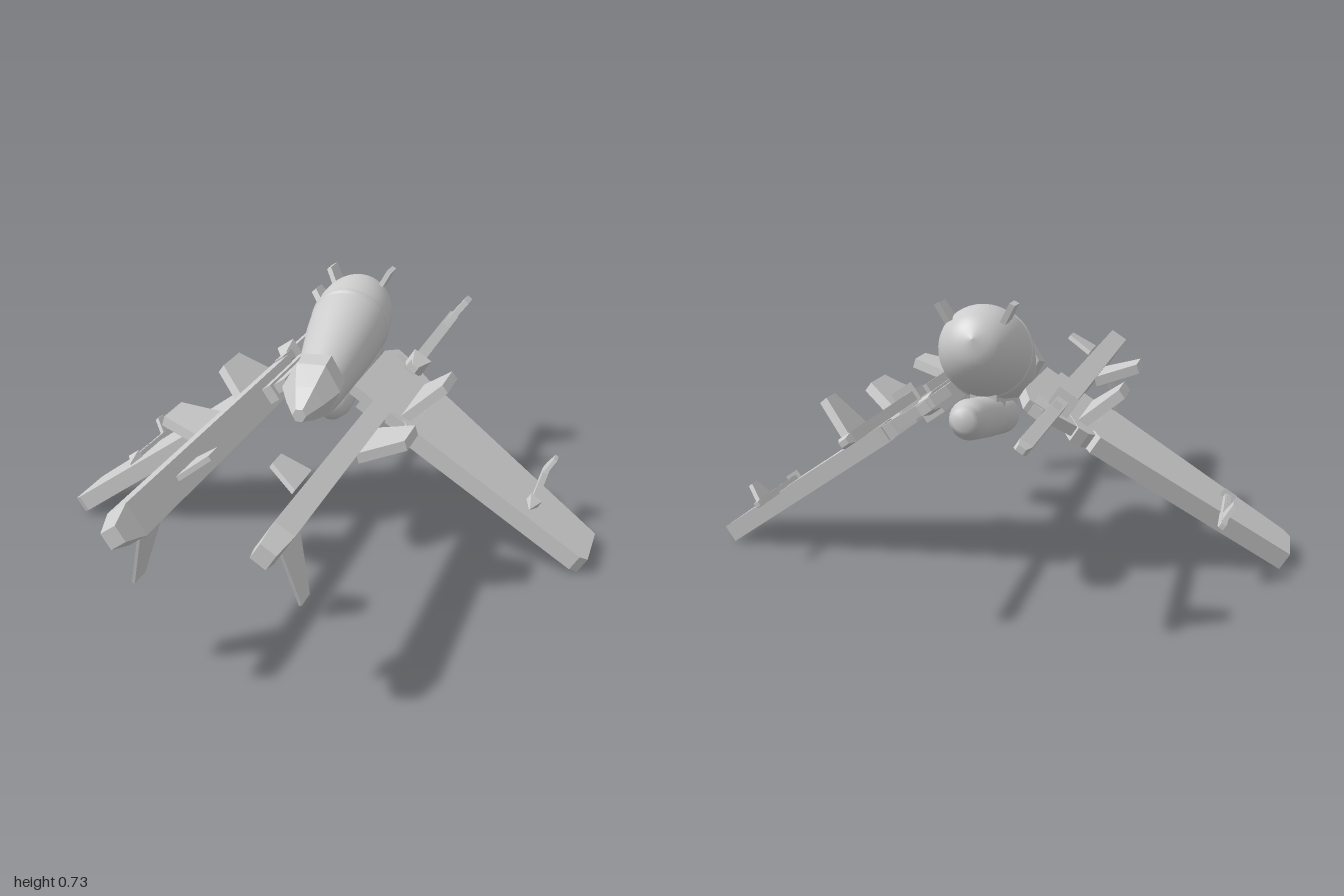
import * as THREE from 'three';

const CANT = THREE.MathUtils.degToRad(34); // droop of wings and booms
const smooth = new THREE.MeshStandardMaterial({ color: 0xcccccc, side: THREE.DoubleSide });
const flat = new THREE.MeshStandardMaterial({ color: 0xcccccc, flatShading: true });

// Flat plate: outline of [distance, z] points, running from (x, y) at an angle
function plate(outline, thick, x, y, angle) {
  const shape = new THREE.Shape(outline.map(([d, z]) => new THREE.Vector2(d, z)));
  return new THREE.ExtrudeGeometry(shape, { depth: thick, bevelEnabled: false })
    .translate(0, 0, -thick / 2).rotateX(Math.PI / 2).rotateZ(angle).translate(x, y, 0);
}

// Fin with a wide base and a narrower tip
const fin = (z0, z1, t0, t1, length, thick, x, y, degrees) =>
  plate([[0, z0], [length, t0], [length, t1], [0, z1]], thick, x, y, THREE.MathUtils.degToRad(degrees));

// Canted beam lofted along z; each station is [z, width, height]
function beam(stations, x, y) {
  const n = stations.length - 1;
  const g = new THREE.BoxGeometry(1, 1, n, 1, 1, n);
  const p = g.attributes.position;
  for (let i = 0; i < p.count; i++) {
    const [z, w, h] = stations[Math.round(p.getZ(i) + n / 2)];
    p.setXYZ(i, p.getX(i) * w, p.getY(i) * h, z);
  }
  return g.rotateZ(-CANT).translate(x, y, 0);
}

// Profile of [radius, z] points turned about the z axis
function turned(profile, sides) {
  return new THREE.LatheGeometry(profile.map(([r, z]) => new THREE.Vector2(r, z)), sides).rotateX(Math.PI / 2);
}

// Mirror across x and reverse the winding
function mirrored(geometry) {
  const g = geometry.index ? geometry.toNonIndexed() : geometry.clone();
  g.scale(-1, 1, 1);
  const p = g.attributes.position;
  const a = new THREE.Vector3(), b = new THREE.Vector3();
  for (let i = 0; i < p.count; i += 3) {
    a.fromBufferAttribute(p, i + 1);
    b.fromBufferAttribute(p, i + 2);
    p.setXYZ(i + 1, b.x, b.y, b.z);
    p.setXYZ(i + 2, a.x, a.y, a.z);
  }
  g.computeVertexNormals();
  return g;
}

export function createModel() {
  const model = new THREE.Group();
  const add = (name, geometry, material = flat) => {
    const mesh = new THREE.Mesh(geometry, material);
    mesh.name = name;
    model.add(mesh);
  };
  const pair = (name, geometry) => {
    add(name + 'Left', geometry);
    add(name + 'Right', mirrored(geometry));
  };

  // Teardrop hull, tilted nose down
  const outline = new THREE.SplineCurve([[0, 0], [0.055, 0.018], [0.092, 0.06], [0.113, 0.12], [0.119, 0.19],
    [0.114, 0.28], [0.1, 0.38], [0.085, 0.48], [0.066, 0.59]].map(([r, z]) => new THREE.Vector2(r, z)));
  const hullProfile = outline.getPoints(32).map((v) => [Math.max(0, v.x), v.y]);
  add('hull', turned([...hullProfile, [0, 0.59]], 40).rotateX(0.31).translate(0, 0.65, -0.565), smooth);
  add('hullBand', turned([[0.11, 0.19], [0.122, 0.195], [0.121, 0.215], [0.11, 0.22]], 40)
    .rotateX(0.31).translate(0, 0.65, -0.565), smooth);

  // Faceted nose, drooping forwards
  const nose = turned([[0, -0.03], [0.08, -0.03], [0.086, 0.04], [0.055, 0.1], [0.02, 0.155], [0, 0.155]], 6);
  nose.rotateZ(Math.PI / 6);
  const np = nose.attributes.position;
  for (let i = 0; i < np.count; i++) np.setY(i, np.getY(i) + 0.52 - Math.max(0, np.getZ(i)) * 0.35);
  add('nose', nose);

  // Pod under the hull with its pylon
  add('bellyPod', turned([[0, 0], [0.026, 0], [0.036, 0.014], [0.037, 0.05], [0.052, 0.075], [0.054, 0.3],
    [0.042, 0.32], [0.042, 0.36], [0.053, 0.38], [0.053, 0.48], [0.042, 0.52], [0.02, 0.54], [0, 0.545]], 24)
    .rotateX(0.15).translate(0, 0.465, -0.675), smooth);
  add('pylon', new THREE.BoxGeometry(0.07, 0.1, 0.3).translate(0, 0.46, -0.28));

  // Small ears on the hull
  pair('ear', fin(-0.53, -0.45, -0.54, -0.47, 0.055, 0.015, 0.07, 0.685, 62));

  // Root plate, joining hull, boom and wing
  pair('rootPlate', plate([[-0.1, -0.40], [-0.07, -0.48], [-0.02, -0.47], [0.09, -0.41], [0.09, -0.04],
    [-0.1, -0.04]], 0.03, 0.18, 0.435, -CANT));
  pair('rootBlock', beam([[-0.48, 0.03, 0.03], [-0.4, 0.04, 0.05], [-0.02, 0.04, 0.05]], 0.145, 0.455));
  pair('wingCuff', plate([[0.03, -0.36], [0.07, -0.43], [0.1, -0.42], [0.115, -0.39], [0.115, -0.03],
    [0.09, -0.03], [0.07, -0.05], [0.03, -0.05]], 0.042, 0.18, 0.43, -CANT));

  // Drooping wings
  pair('wing', plate([[0.105, -0.37], [0.13, -0.395], [0.725, -0.235], [0.725, -0.045], [0.7, -0.025],
    [0.125, -0.025], [0.105, -0.045]], 0.05, 0.18, 0.43, -CANT));

  // Long forward booms and their fins
  pair('boom', beam([[-0.31, 0.058, 0.09], [0.92, 0.058, 0.09], [1, 0.045, 0.045]], 0.18, 0.437));
  pair('boomSideFin', fin(0.14, 0.35, 0.185, 0.31, 0.125, 0.028, 0.22, 0.435, 16));
  pair('boomLowerFin', fin(0.72, 0.87, 0.765, 0.83, 0.17, 0.008, 0.172, 0.405, -76));
  pair('boomInnerFin', fin(0.54, 0.68, 0.57, 0.64, 0.085, 0.014, 0.15, 0.462, 146));
  pair('shoulderFin', fin(-0.37, -0.06, -0.30, -0.16, 0.13, 0.028, 0.24, 0.4, 36));

  // Rear rods and wing rods: each has an arrow head and an upright fin
  const arrow = (r, length, x, y, z) => new THREE.ConeGeometry(r, length, 4).rotateX(Math.PI / 2)
    .rotateZ(Math.PI / 4 - CANT).translate(x, y, z);
  pair('rearRod', beam([[-1, 0.02, 0.014], [-0.97, 0.034, 0.026], [-0.3, 0.034, 0.026]], 0.2, 0.468));
  pair('rearArrow', arrow(0.045, 0.09, 0.205, 0.468, -0.37));
  pair('rearFin', fin(-0.97, -0.82, -0.935, -0.87, 0.105, 0.02, 0.2, 0.47, 51));
  pair('wingRod', beam([[-0.44, 0.014, 0.014], [-0.42, 0.018, 0.018], [-0.1, 0.018, 0.018]], 0.62, 0.168));
  pair('wingArrow', arrow(0.028, 0.055, 0.62, 0.168, -0.1));
  pair('wingRodFin', fin(-0.43, -0.335, -0.405, -0.365, 0.057, 0.012, 0.617, 0.168, 54));
  pair('wingRodMount', new THREE.BoxGeometry(0.012, 0.05, 0.12).rotateZ(-CANT).translate(0.613, 0.155, -0.17));

  return model;
}
